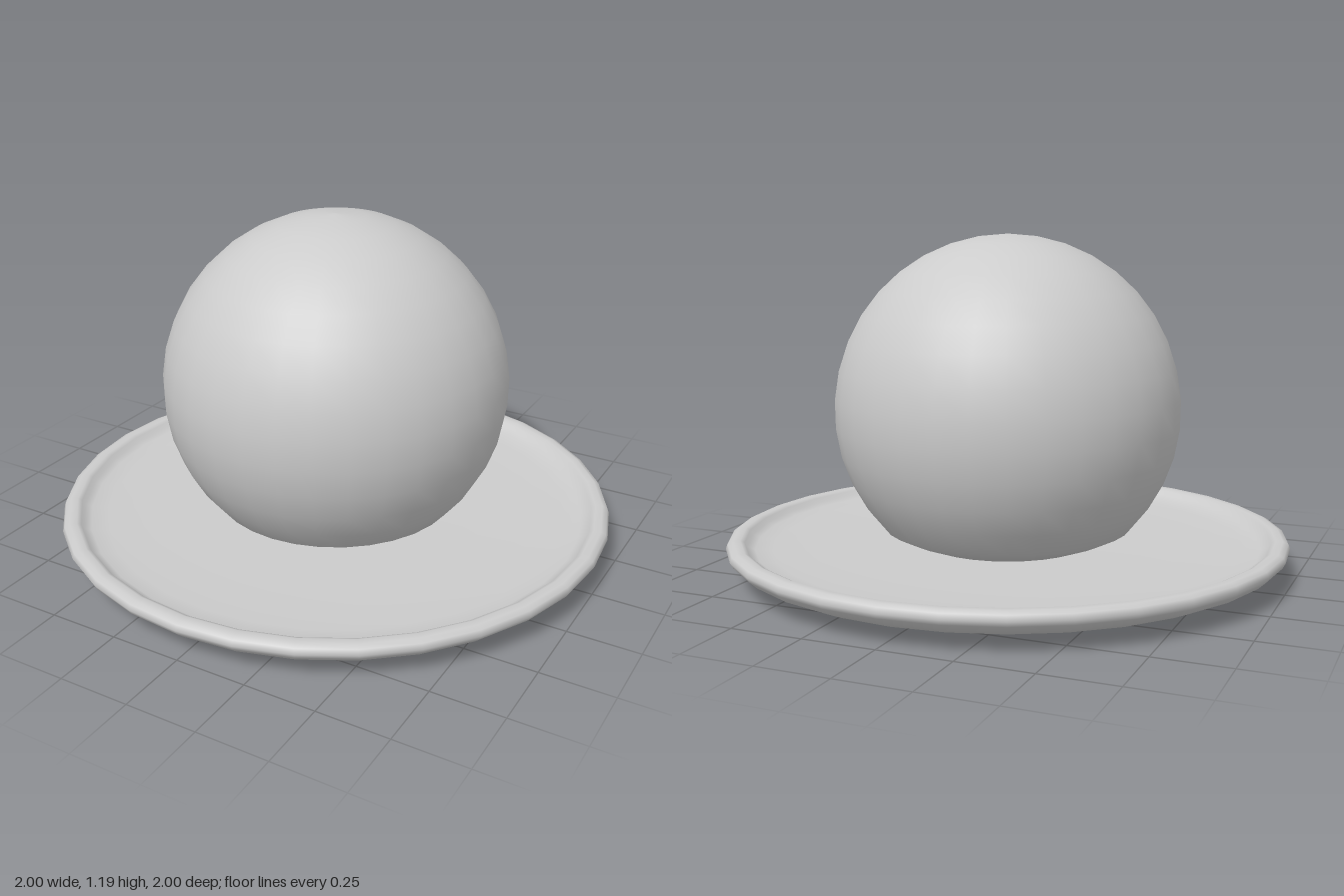
import * as THREE from 'three';

const SEGMENTS = 32;

function turned(name, points) {
  const profile = points.map(([r, y]) => new THREE.Vector2(r, y));
  const mesh = new THREE.Mesh(
    new THREE.LatheGeometry(profile, SEGMENTS),
    new THREE.MeshStandardMaterial({ color: 0xcccccc })
  );
  mesh.name = name;
  return mesh;
}

export function createModel() {
  const model = new THREE.Group();
  model.name = 'ballOnPlate';

  // Shallow plate: underside, rolled rim, then the dished floor
  model.add(turned('plate', [
    [0, 0], [0.3, 0.002], [0.55, 0.01], [0.75, 0.026], [0.91, 0.042],
    [0.965, 0.067], [0.99, 0.09], [1, 0.108], [0.993, 0.126], [0.975, 0.134],
    [0.95, 0.134], [0.935, 0.127], [0.925, 0.112], [0.9, 0.1],
    [0.84, 0.092], [0.7, 0.086], [0.5, 0.081], [0, 0.078],
  ]));

  // Ball with a softly flattened base
  const radius = 0.615, centre = 0.578, steps = 14;
  const ball = [[0, 0.075], [0.22, 0.08], [0.31, 0.094], [0.38, 0.12]];
  const start = -Math.asin((centre - 0.15) / radius);
  for (let i = 0; i <= steps; i++) {
    const a = THREE.MathUtils.lerp(start, Math.PI / 2, i / steps);
    ball.push([i === steps ? 0 : radius * Math.cos(a), centre + radius * Math.sin(a)]);
  }
  model.add(turned('ball', ball));

  return model;
}
